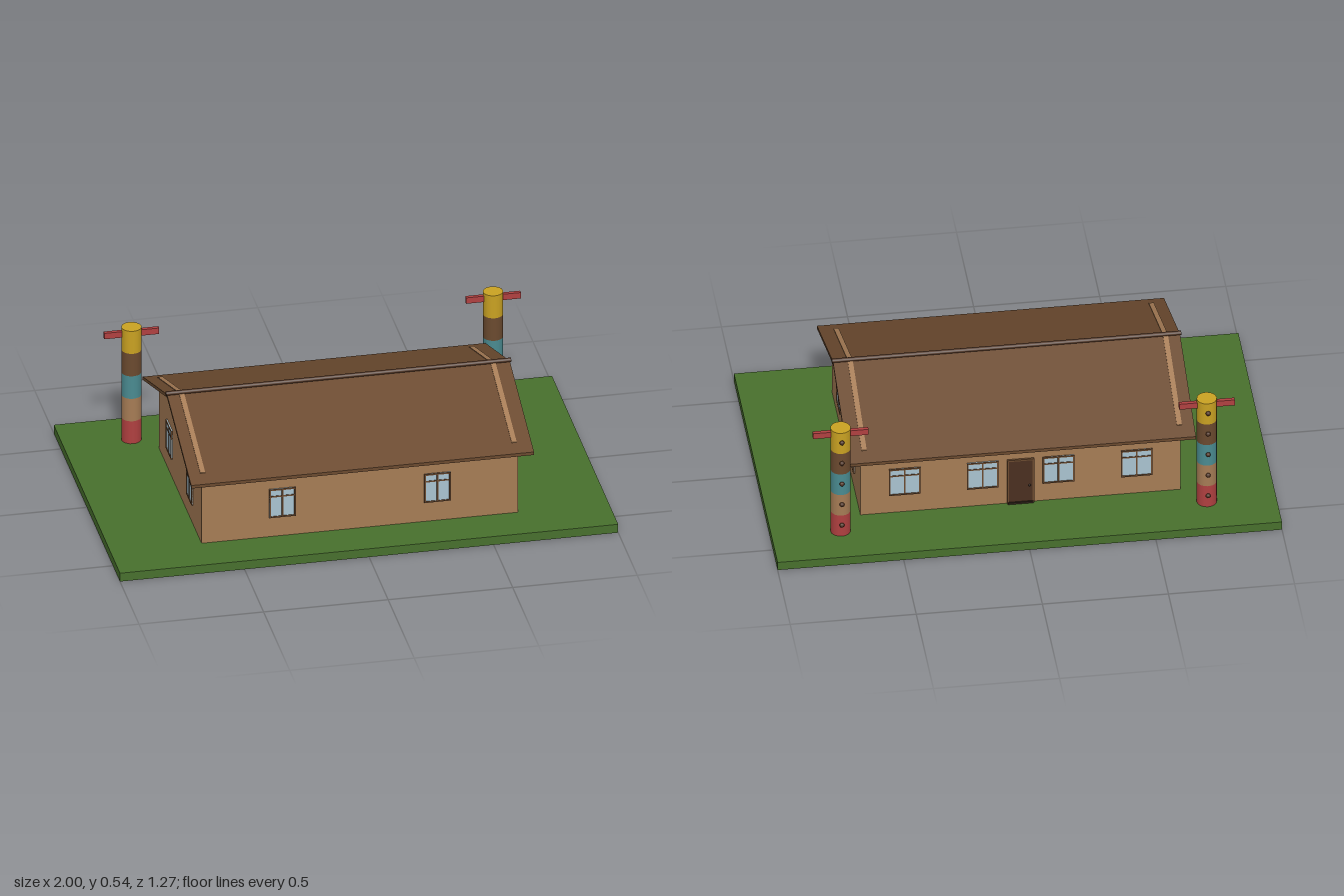
import * as THREE from 'three';

const mat = (name, color) => Object.assign(new THREE.MeshStandardMaterial({ color }), { name });
const M = {
  grass: mat('grass green', 0x48702d),
  wall: mat('tan wood', 0xa67c55),
  roof: mat('roof brown', 0x6b4a2f),
  dark: mat('dark brown', 0x4a2f1f),
  glass: mat('pale glass', 0xa9c3d0),
  red: mat('red paint', 0xb04040),
  teal: mat('teal paint', 0x4a8b91),
  yellow: mat('yellow paint', 0xcaa222),
  knob: mat('near black', 0x2e2119),
};

const GROUND = 0.037; // top of the lawn
const MID = 0.045; // z of the ridge
const HALF_X = 0.635, HALF_Z = 0.41; // house half sizes
const RIDGE = 0.492, SLOPE = 0.351;

function add(parent, name, geometry, material, x = 0, y = 0, z = 0) {
  const mesh = new THREE.Mesh(geometry, material);
  mesh.name = name;
  mesh.position.set(x, y, z);
  parent.add(mesh);
  return mesh;
}
const box = (parent, name, material, w, h, d, x, y, z) =>
  add(parent, name, new THREE.BoxGeometry(w, h, d), material, x, y, z);

// Extrudes a (z, y) outline along x, centred on x = cx
function prism(parent, name, material, points, width, cx = 0) {
  const shape = new THREE.Shape(points.map(([z, y]) => new THREE.Vector2(-z, y)));
  const geometry = new THREE.ExtrudeGeometry(shape, { depth: width, bevelEnabled: false });
  geometry.translate(0, 0, -width / 2).rotateY(Math.PI / 2);
  return add(parent, name, geometry, material, cx);
}

// Window facing +z, origin at its centre on the wall
function makeWindow(w) {
  const g = new THREE.Group();
  const h = 0.126, bar = 0.006;
  g.name = 'window';
  box(g, 'glass', M.glass, w, h, 0.004, 0, 0, 0.002);
  for (const s of [-1, 1]) {
    box(g, 'frameSide', M.roof, bar, h, 0.007, s * (w - bar) / 2, 0, 0.0035);
    box(g, 'frameRail', M.roof, w, bar, 0.007, 0, s * (h - bar) / 2, 0.0035);
  }
  box(g, 'mullion', M.roof, bar, h, 0.006, 0, 0, 0.003);
  box(g, 'transom', M.roof, w, bar, 0.006, 0, 0.03, 0.003);
  return g;
}

function makeDoor() {
  const g = new THREE.Group();
  g.name = 'door';
  const h = 0.208;
  box(g, 'doorPanel', M.dark, 0.1, h, 0.006, 0, h / 2, 0.003);
  for (const s of [-1, 1]) box(g, 'doorJamb', M.roof, 0.007, h, 0.008, s * 0.05, h / 2, 0.004);
  box(g, 'doorLintel', M.roof, 0.107, 0.007, 0.008, 0, h, 0.004);
  add(g, 'doorKnob', new THREE.SphereGeometry(0.005, 8, 6), M.knob, 0.035, 0.085, 0.008);
  box(g, 'doorStep', M.knob, 0.1, 0.008, 0.012, 0, 0.004, 0.006);
  return g;
}

// Painted pole with a crossbar and a column of knobs on the back
function makePole() {
  const g = new THREE.Group();
  g.name = 'paintedPole';
  [M.red, M.wall, M.teal, M.roof, M.yellow].forEach((m, i) => {
    add(g, 'poleBand', new THREE.CylinderGeometry(0.04, 0.04, 0.1, 16), m, 0, 0.05 + i * 0.1, 0);
    add(g, 'poleKnob', new THREE.SphereGeometry(0.01, 10, 8), M.dark, 0, 0.055 + i * 0.1, -0.041);
  });
  box(g, 'crossbar', M.red, 0.22, 0.026, 0.016, 0, 0.473, 0);
  return g;
}

export function createModel() {
  const model = new THREE.Group();
  model.name = 'house';

  box(model, 'lawn', M.grass, 2, GROUND, 1.27, 0, GROUND / 2, 0);

  // Walls with gables
  const peak = RIDGE - 0.011;
  const eave = peak - HALF_Z * SLOPE;
  prism(model, 'walls', M.wall, [
    [MID + HALF_Z, GROUND], [MID - HALF_Z, GROUND], [MID - HALF_Z, eave], [MID, peak], [MID + HALF_Z, eave],
  ], HALF_X * 2);

  // Roof slopes and the pale strips lying on them
  const t = 0.0135, over = 0.466;
  for (const s of [-1, 1]) {
    const slab = (name, m, z1, lift, thick, width, x) => {
      const top = RIDGE + lift;
      prism(model, name, m, [
        [MID, top], [MID + s * z1, top - z1 * SLOPE],
        [MID + s * z1, top - z1 * SLOPE - thick], [MID, top - thick],
      ], width, x);
    };
    slab('roofSlope', M.roof, over, 0, t, 1.376, 0);
    for (const x of [-0.63, 0.62]) slab('roofStrip', M.wall, 0.41, 0.003, 0.004, 0.02, x);
  }
  const ridge = add(model, 'ridgePole', new THREE.CylinderGeometry(0.009, 0.009, 1.385, 10), M.dark, 0, RIDGE + 0.004, MID);
  ridge.rotation.z = Math.PI / 2;

  // Windows: two in front, two on each end, four at the back
  const place = (part, x, y, z, turn) => {
    part.position.set(x, y, z);
    part.rotation.y = turn;
    model.add(part);
  };
  const wy = 0.185, front = MID + HALF_Z, back = MID - HALF_Z;
  for (const s of [-1, 1]) {
    place(makeWindow(0.106), s * 0.311, wy, front, 0);
    for (const x of [0.15, 0.46]) place(makeWindow(0.125), s * x, wy, back, Math.PI);
    for (const e of [-1, 1]) place(makeWindow(0.104), e * HALF_X, wy, MID + s * 0.196, e * Math.PI / 2);
    place(makePole(), s * 0.726, GROUND, -0.456, 0);
  }
  place(makeDoor(), 0, GROUND, back, Math.PI);

  return model;
}
